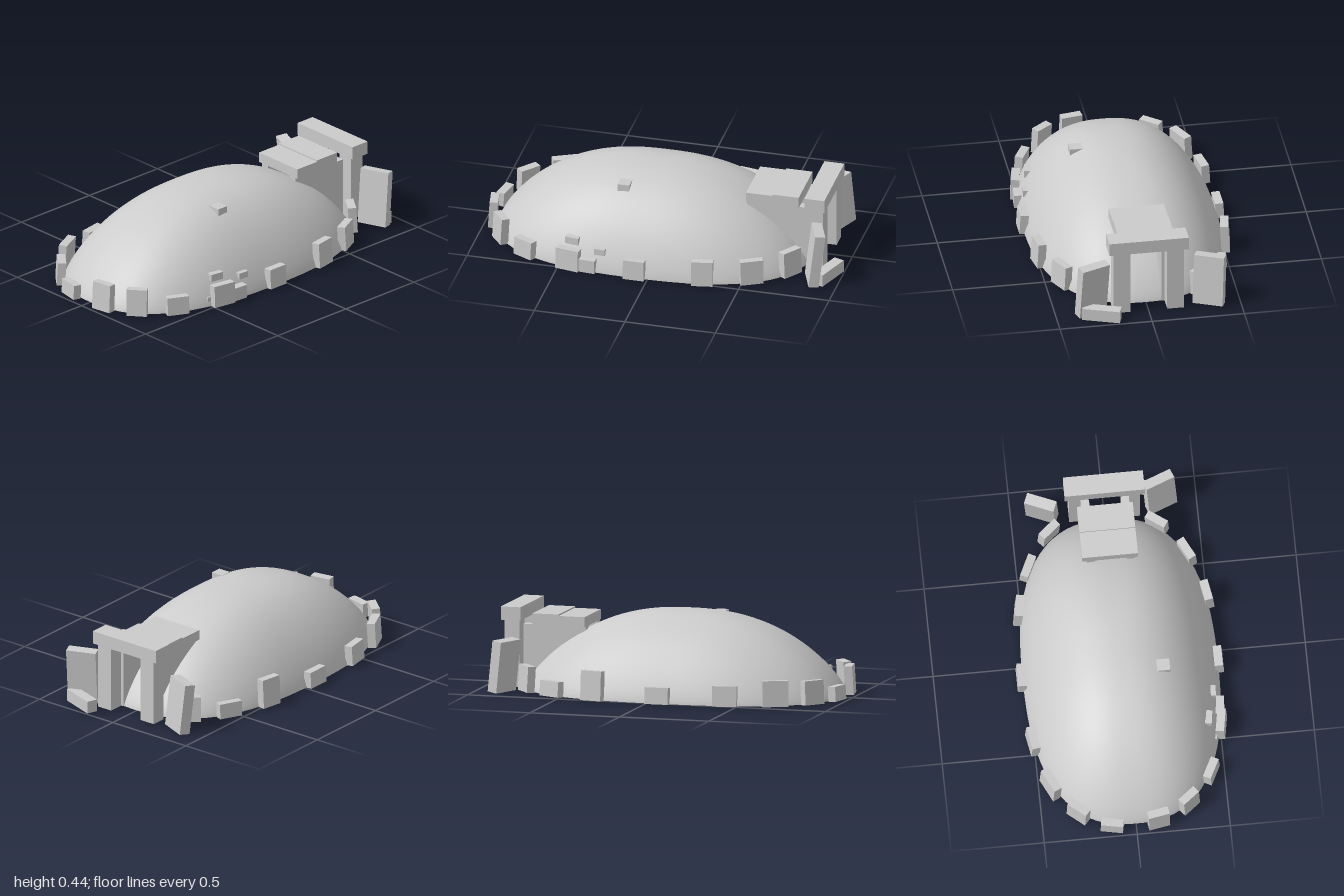
import * as THREE from 'three';
import { mergeVertices } from 'three/addons/utils/BufferGeometryUtils.js';

const stone = new THREE.MeshStandardMaterial({ color: 0xcccccc, flatShading: true });
const earth = new THREE.MeshStandardMaterial({ color: 0xcccccc, side: THREE.DoubleSide });

// Mound outline: superellipse in plan
const CX = -0.07, A = 0.87, B = 0.525, H = 0.437, N = 2.5;

function createMound() {
  // Domed profile, rim to crown, on a unit radius
  const profile = [];
  for (let i = 0; i <= 32; i++) {
    const r = Math.cos((i / 32) * Math.PI / 2);
    profile.push(new THREE.Vector2(r, H * Math.pow(Math.max(0, 1 - Math.pow(r, 2.3)), 0.8)));
  }
  let geo = new THREE.LatheGeometry(profile, 80);
  // Stretch the round plan to the superellipse
  const p = geo.attributes.position;
  for (let i = 0; i < p.count; i++) {
    const x = p.getX(i), z = p.getZ(i), r = Math.hypot(x, z);
    if (r < 1e-6) { p.setXYZ(i, CX, p.getY(i), 0); continue; }
    const c = x / r, s = z / r;
    const k = r / Math.pow(Math.abs(c) ** N + Math.abs(s) ** N, 1 / N);
    p.setXYZ(i, CX + A * c * k, p.getY(i), B * s * k);
  }
  geo.deleteAttribute('uv');
  geo.deleteAttribute('normal');
  geo = mergeVertices(geo, 1e-5);
  geo.computeVertexNormals();
  const mesh = new THREE.Mesh(geo, earth);
  mesh.name = 'mound';
  return mesh;
}

export function createModel() {
  const model = new THREE.Group();
  model.name = 'chamberedMound';
  model.add(createMound());

  // Block given by size and base centre, with yaw and leans
  function block(name, [w, h, d], [x, y, z], yaw = 0, leanX = 0, leanZ = 0) {
    const mesh = new THREE.Mesh(new THREE.BoxGeometry(w, h, d).translate(0, h / 2, 0), stone);
    mesh.name = name;
    mesh.position.set(x, y, z);
    mesh.rotation.set(leanX, yaw, leanZ, 'YXZ');
    model.add(mesh);
    return mesh;
  }

  // Kerbstones around the foot: x, z, width, height
  const kerb = [
    [-0.07, 0.53, 0.115, 0.11], [-0.44, 0.51, 0.13, 0.12], [-0.70, 0.43, 0.12, 0.10],
    [-0.87, 0.295, 0.11, 0.15], [-0.955, 0.12, 0.115, 0.155], [0.30, 0.505, 0.115, 0.14],
    [0.55, 0.42, 0.125, 0.135], [0.73, 0.275, 0.12, 0.145],
    [-0.07, -0.535, 0.13, 0.09], [-0.44, -0.51, 0.13, 0.11], [-0.70, -0.44, 0.14, 0.14],
    [-0.87, -0.305, 0.12, 0.13], [-0.955, -0.13, 0.12, 0.08], [0.30, -0.515, 0.12, 0.16],
    [0.55, -0.44, 0.13, 0.083], [0.73, -0.31, 0.12, 0.14],
  ];
  for (const [x, z, w, h] of kerb) {
    const u = (x - CX) / A, v = z / B;
    const nx = Math.sign(u) * Math.abs(u) ** (N - 1) / A;
    const nz = Math.sign(v) * Math.abs(v) ** (N - 1) / B;
    block('kerbstone', [w, h, 0.045], [x, 0, z], Math.atan2(nx, nz), -0.06);
  }

  // Passage walls and portal jambs
  for (const s of [-1, 1]) {
    block('passageWall', [0.35, 0.335, 0.045], [0.625, 0, s * 0.107]);
    block('portalJamb', [0.085, 0.365, 0.09], [0.845, 0, s * 0.145]);
  }

  // Roof slabs and lintel
  block('roofSlab', [0.15, 0.055, 0.3], [0.525, 0.335, -0.005]);
  block('roofSlab', [0.145, 0.063, 0.3], [0.668, 0.335, -0.005]);
  block('lintel', [0.11, 0.072, 0.43], [0.845, 0.365, 0]);

  // Leaning facade slabs and the fallen stone beside the entrance
  block('facadeSlab', [0.055, 0.305, 0.165], [0.855, 0, 0.31], 0.37, 0, -0.12);
  block('facadeSlab', [0.06, 0.28, 0.165], [0.86, 0, -0.33], -0.4, 0, 0.12);
  block('fallenStone', [0.06, 0.068, 0.205], [0.935, 0, 0.262], -0.34);

  // Loose stones on the slope
  block('looseStone', [0.075, 0.04, 0.045], [-0.43, 0.12, 0.435], -0.15);
  block('looseStone', [0.06, 0.035, 0.045], [-0.27, 0.093, 0.47], -0.05);
  block('looseStone', [0.10, 0.075, 0.07], [-0.335, 0, 0.497], -0.08);
  block('looseStone', [0.07, 0.05, 0.045], [-0.48, 0, 0.46], -0.2);
  block('looseStone', [0.065, 0.04, 0.07], [-0.2, 0.365, 0.217]);

  return model;
}
